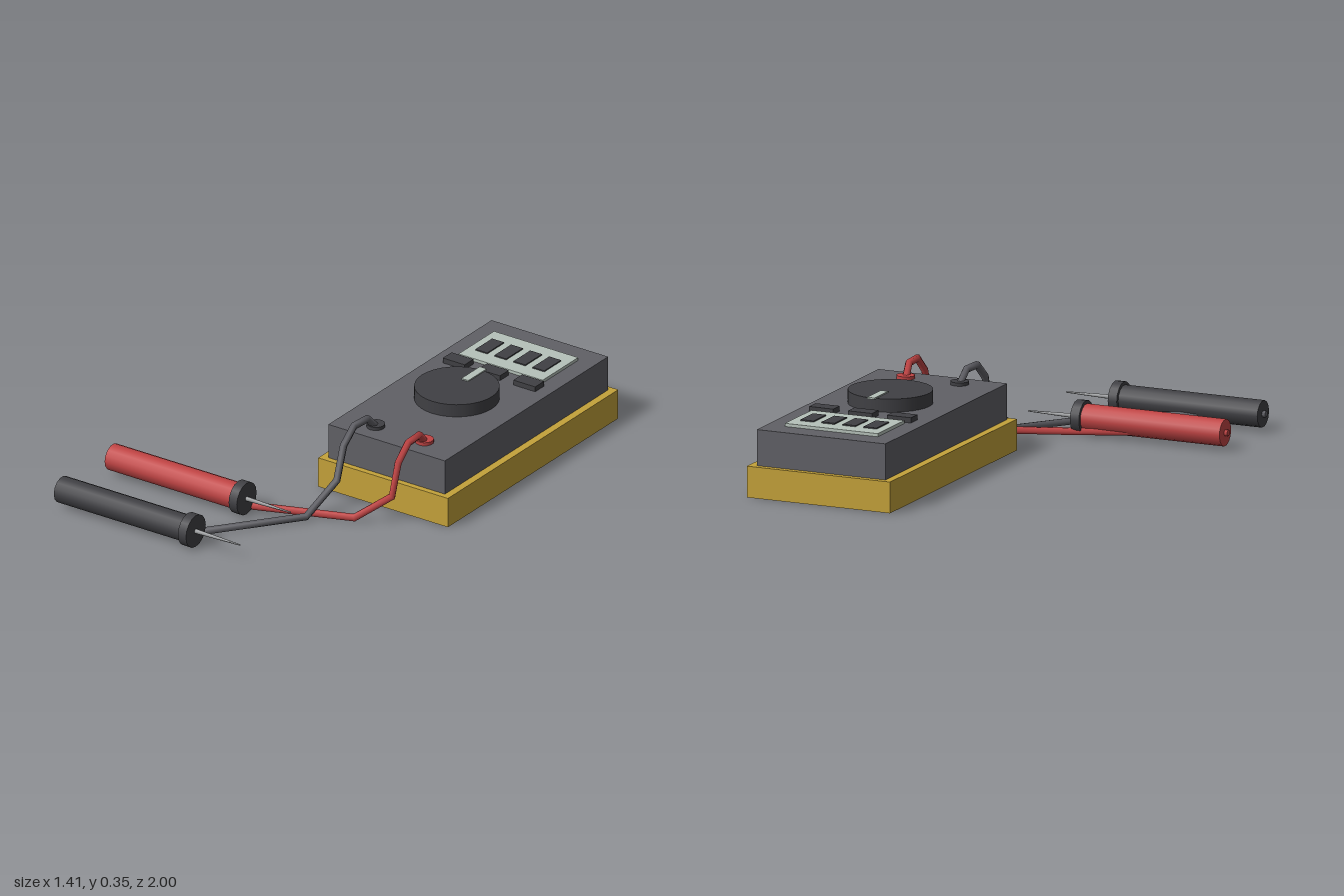
import * as THREE from 'three';

const mat = (name, color, extra = {}) => {
  const m = new THREE.MeshStandardMaterial({ color, ...extra });
  m.name = name;
  return m;
};

// Curve that passes straight between its points, one tube ring per point
class Polyline extends THREE.Curve {
  constructor(points) {
    super();
    this.points = points.map((p) => new THREE.Vector3(...p));
  }
  getPoint(t) {
    const n = this.points.length - 1;
    const i = Math.min(Math.floor(t * n + 1e-6), n - 1);
    return this.points[i].clone().lerp(this.points[i + 1], t * n - i);
  }
  getPointAt(t) { return this.getPoint(t); }
  getTangentAt(t) {
    const p = this.points, n = p.length - 1, i = Math.round(t * n);
    const dir = (a, b) => p[b].clone().sub(p[a]).normalize();
    const tangent = new THREE.Vector3();
    if (i > 0) tangent.add(dir(i - 1, i));
    if (i < n) tangent.add(dir(i, i + 1));
    return tangent.normalize();
  }
}

export function createModel() {
  const model = new THREE.Group();
  model.name = 'multimeter';

  const yellow = mat('yellow case', 0xc4a23a);
  const grey = mat('grey plastic', 0x606066);
  const dark = mat('dark plastic', 0x404044);
  const red = mat('red plastic', 0xc04444);
  const pale = mat('pale display', 0xb6c2ba);
  const metal = mat('metal', 0x96989a);

  const add = (parent, name, geometry, material, x, y, z) => {
    const mesh = new THREE.Mesh(geometry, material);
    mesh.name = name;
    mesh.position.set(x, y, z);
    parent.add(mesh);
    return mesh;
  };
  // Box given by its centre in x and z and its bottom and top heights
  const box = (name, material, x, z, w, d, y0, y1) =>
    add(model, name, new THREE.BoxGeometry(w, y1 - y0, d), material, x, (y0 + y1) / 2, z);

  // Case
  const cx = 0.384;
  box('caseBase', yellow, cx, -0.4, 0.64, 1.2, 0, 0.13);
  box('caseTop', grey, cx, -0.4, 0.575, 1.15, 0.13, 0.28);

  // Display and its digits
  box('display', pale, cx, -0.753, 0.415, 0.25, 0.28, 0.293);
  for (let i = 0; i < 4; i++) {
    box('digit', dark, cx + (i - 1.5) * 0.094, -0.752, 0.058, 0.118, 0.293, 0.298);
  }

  // Buttons
  for (const i of [-1, 0, 1]) {
    box('button', dark, cx + i * 0.174, -0.577, 0.108, 0.062, 0.28, 0.302);
  }

  // Dial with pointer
  add(model, 'dial', new THREE.CylinderGeometry(0.173, 0.173, 0.055, 32), dark, cx, 0.3075, -0.32);
  box('dialPointer', pale, cx, -0.441, 0.034, 0.13, 0.333, 0.34);

  // Test probe lying along x, tip towards +x
  function probe(name, material, wireMaterial, z) {
    const group = new THREE.Group();
    group.name = name;
    group.position.set(0, 0.07, z);
    model.add(group);
    const rod = (part, m, x0, x1, r0, r1, sides) => {
      const g = new THREE.CylinderGeometry(r1, r0, x1 - x0, sides).rotateZ(-Math.PI / 2);
      add(group, part, g, m, (x0 + x1) / 2, 0, 0);
    };
    rod('handle', material, -0.692, -0.07, 0.056, 0.056, 14);
    rod('fingerGuard', dark, -0.07, -0.03, 0.07, 0.07, 16);
    rod('tip', metal, -0.03, 0.188, 0.01, 0.003, 8);
    rod('cableEnd', wireMaterial, -0.706, -0.68, 0.014, 0.014, 6);
  }
  probe('redProbe', red, red, 0.57);
  probe('blackProbe', dark, grey, 0.928);

  // Cables from the jacks down to the probe handles
  function cable(name, material, points) {
    const tube = new THREE.TubeGeometry(new Polyline(points), points.length - 1, 0.016, 6, false);
    add(model, name, tube, material, 0, 0, 0);
  }
  cable('redCable', red, [
    [0.505, 0.28, 0.08], [0.513, 0.333, 0.128], [0.517, 0.333, 0.214], [0.515, 0.27, 0.28],
    [0.497, 0.12, 0.298], [0.365, 0.018, 0.375], [-0.05, 0.018, 0.53], [-0.69, 0.07, 0.57],
  ]);
  cable('blackCable', grey, [
    [0.264, 0.28, 0.08], [0.256, 0.333, 0.128], [0.25, 0.333, 0.214], [0.245, 0.27, 0.28],
    [0.237, 0.125, 0.316], [0.2, 0.018, 0.48], [-0.08, 0.018, 0.845], [-0.69, 0.07, 0.928],
  ]);

  // Jacks
  const jack = new THREE.CylinderGeometry(0.038, 0.038, 0.014, 14);
  add(model, 'redJack', jack, red, 0.505, 0.287, 0.08);
  add(model, 'blackJack', jack, dark, 0.264, 0.287, 0.08);

  return model;
}
